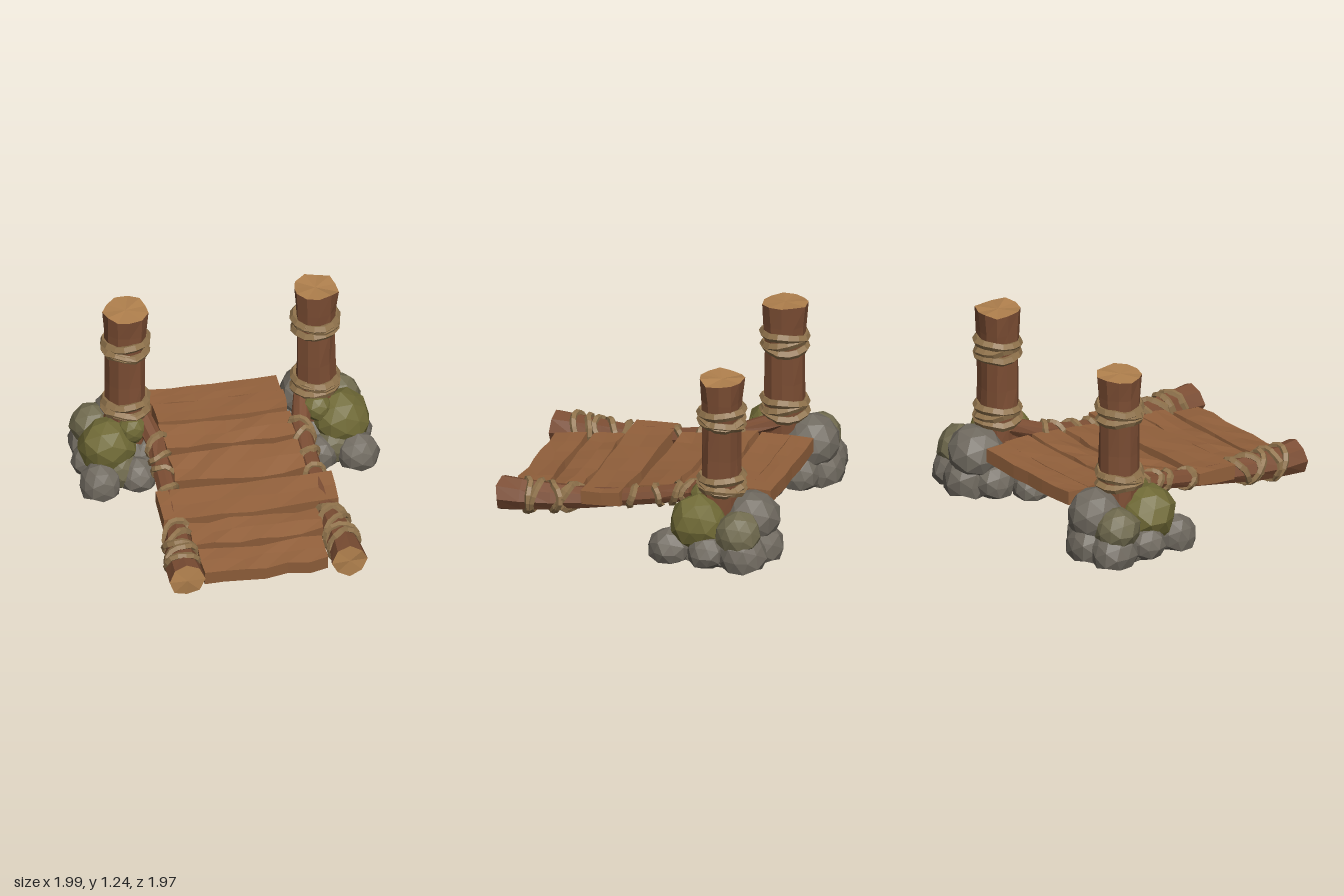
import * as THREE from 'three';

const mat = (color) => new THREE.MeshStandardMaterial({ color, flatShading: true });
const UP = new THREE.Vector3(0, 1, 0);

// Repeatable noise in -1..1; equal positions always get equal values.
function noise(v, seed) {
  const q = (n) => Math.round(n * 1000) / 1000;
  const s = Math.sin(q(v.x) * 127.1 + q(v.y) * 311.7 + q(v.z) * 74.7 + seed * 19.3) * 43758.5453;
  return (s - Math.floor(s)) * 2 - 1;
}

// Move every vertex by a rule.
function reshape(geometry, rule) {
  const pos = geometry.attributes.position;
  const v = new THREE.Vector3();
  for (let i = 0; i < pos.count; i++) {
    v.fromBufferAttribute(pos, i);
    rule(v);
    pos.setXYZ(i, v.x, v.y, v.z);
  }
  geometry.computeVertexNormals();
  return geometry;
}

function add(parent, name, geometry, material) {
  const mesh = new THREE.Mesh(geometry, material);
  mesh.name = name;
  parent.add(mesh);
}

// Rough log through stations [x, y, z, radius], with grooves along its length.
function logGeometry(stations, sides, rough, seed) {
  const n = stations.length - 1;
  const at = (i) => new THREE.Vector3(...stations[Math.min(n, Math.max(0, i))].slice(0, 3));
  return reshape(new THREE.CylinderGeometry(1, 1, 1, sides, n), (v) => {
    const i = Math.round((v.y + 0.5) * n);
    const tangent = at(i + 1).sub(at(i - 1)).normalize();
    const onRim = Math.hypot(v.x, v.z) > 0.5;
    const groove = noise(new THREE.Vector3(v.x, 0, v.z), seed);
    const r = stations[i][3] * (1 + (onRim ? rough * (0.5 * noise(v, seed) + 0.7 * groove) : 0));
    const lift = i === n ? 0.012 * noise(v, seed + 5) : 0;
    v.set(v.x * r, lift, v.z * r)
      .applyQuaternion(new THREE.Quaternion().setFromUnitVectors(UP, tangent))
      .add(at(i));
  });
}

// One tilted loop of rope around an axis.
function ropeGeometry(center, axis, radius, thick, tilt, phase) {
  const turn = new THREE.Quaternion().setFromUnitVectors(UP, axis);
  const points = [];
  for (let i = 0; i < 9; i++) {
    const a = (i / 9) * Math.PI * 2;
    const r = radius * (1 + 0.04 * Math.sin(i * 2.4 + phase * 3));
    const h = tilt * Math.sin(a + phase) + 0.008 * Math.sin(i * 3.1 + phase);
    points.push(new THREE.Vector3(r * Math.cos(a), h, r * Math.sin(a)).applyQuaternion(turn).add(center));
  }
  return new THREE.TubeGeometry(new THREE.CatmullRomCurve3(points, true), 14, thick, 5, true);
}

// Faceted boulder cut flat at the ground.
function rockGeometry(x, y, z, r, seed) {
  return reshape(new THREE.IcosahedronGeometry(1, 1), (v) => {
    v.multiplyScalar(r * (1 + 0.06 * noise(v, seed)));
    v.set(v.x + x, Math.max(0.02, v.y + y), v.z + z);
  });
}

// Warped board, centred at height y, sloping up towards the back.
function plankGeometry(z0, z1, halfWidth, y, pitch, rough, seed) {
  const g = new THREE.BoxGeometry(halfWidth * 2, 0.09, z1 - z0, 6, 1, 2);
  reshape(g, (v) => {
    const p = v.clone();
    const edge = new THREE.Vector3(p.x, 0, p.z);
    v.z += 0.02 * rough * noise(edge, seed);
    v.y += 0.012 * rough * noise(p, seed + 3) - 0.012 * (1 - (p.x / halfWidth) ** 2);
    v.x += 0.01 * noise(edge, seed + 7);
  });
  return g.rotateX(pitch).translate(0, y, (z0 + z1) / 2);
}

export function createModel() {
  const model = new THREE.Group();
  model.name = 'ropeBridgeEnd';
  const bark = mat(0x7b4d33);
  const cutWood = mat(0xb0804d);
  const board = mat(0x93613c);
  const rope = mat(0x90734c);
  const stone = mat(0x706a60);
  const mossyStone = mat(0x706a36);
  const halfMossyStone = mat(0x706a4e);
  const logMats = [bark, cutWood, cutWood];

  // Deck boards: back edge, front edge, half width, height, slope, roughness
  const planks = [
    [-0.83, -0.675, 0.43, 0.35, 0.02, 0.3],
    [-0.675, -0.48, 0.43, 0.345, 0.03, 0.3],
    [-0.445, -0.235, 0.43, 0.325, 0.14, 0.7],
    [-0.195, 0.075, 0.425, 0.275, 0.17, 0.8],
    [0.14, 0.42, 0.575, 0.238, 0.1, 0.5],
    [0.45, 0.66, 0.43, 0.19, 0.14, 0.8],
    [0.70, 0.92, 0.41, 0.148, 0.12, 1],
  ];
  const deck = new THREE.Group();
  deck.name = 'deck';
  model.add(deck);
  planks.forEach((p, i) => add(deck, 'plank' + (i + 1), plankGeometry(...p, i + 1), board));

  // Boulders for the +x side: x, y, z, radius, material
  const rocks = [
    [0.61, 0.28, -0.76, 0.19, stone],
    [0.81, 0.25, -0.74, 0.15, halfMossyStone],
    [0.77, 0.27, -0.46, 0.19, mossyStone],
    [0.61, 0.39, -0.45, 0.1, mossyStone],
    [0.63, 0.1, -0.81, 0.17, stone],
    [0.81, 0.1, -0.77, 0.16, stone],
    [0.86, 0.11, -0.54, 0.13, stone],
    [0.85, 0.1, -0.29, 0.14, stone],
    [0.71, 0.13, -0.39, 0.14, halfMossyStone],
    [0.6, 0.1, -0.33, 0.13, stone],
    [0.5, 0.15, -0.5, 0.14, stone],
    [0.48, 0.11, -0.72, 0.14, stone],
    [0.33, 0.06, -0.53, 0.13, stone],
    [0.66, 0.05, -0.57, 0.27, stone],
  ];

  // Rail stations for the +x side, from the back up to the thick front end
  const rail = [
    [0.54, 0.44, -0.56, 0.06],
    [0.475, 0.345, -0.32, 0.062],
    [0.48, 0.285, -0.1, 0.06],
    [0.485, 0.235, 0.15, 0.06],
    [0.50, 0.195, 0.42, 0.075],
    [0.52, 0.18, 0.62, 0.092],
    [0.535, 0.17, 0.82, 0.105],
    [0.537, 0.166, 0.97, 0.115],
  ];
  // Rope loops on the rail: position along z, tilt
  const railLoops = [[-0.3, 0.05], [-0.2, -0.05], [-0.08, 0.02], [0.09, 0.03],
    [0.5, 0.06], [0.56, -0.07], [0.62, 0.06], [0.73, 0.03], [0.79, -0.04]];
  // Rope loops on the post: height, radius, tilt
  const postLoops = [[0.94, 0.133, 0.012], [1.02, 0.136, 0.015], [0.975, 0.131, 0.03],
    [0.48, 0.138, 0.015], [0.555, 0.135, 0.012], [0.515, 0.133, 0.03]];
  const profile = [[0.1, 0.14], [0.3, 0.14], [0.45, 0.136], [0.7, 0.128], [0.95, 0.129], [1.1, 0.136], [1.245, 0.148]];

  for (const s of [1, -1]) {
    const side = new THREE.Group();
    side.name = s > 0 ? 'leftSide' : 'rightSide';
    model.add(side);
    const seed = 10 + s * 4;

    // Upright post and its two bindings
    const post = profile.map(([y, r]) => [s * 0.625, y, -0.57, r]);
    add(side, 'post', logGeometry(post, 11, 0.09, seed), logMats);
    postLoops.forEach(([y, r, tilt], i) => add(side, 'postRope',
      ropeGeometry(new THREE.Vector3(s * 0.625, y, -0.57), UP, r, 0.031, tilt, i * 2.1 + s), rope));

    // Sloping rail and its lashings
    const path = rail.map(([x, y, z, r]) => [s * x, y, z, r]);
    add(side, 'rail', logGeometry(path, 8, 0.08, seed + 1), logMats);
    railLoops.forEach(([z, tilt], i) => {
      const k = path.findIndex((p) => p[2] > z);
      const [a, b] = [path[k - 1], path[k]];
      const t = (z - a[2]) / (b[2] - a[2]);
      const [x, y, , r] = a.map((n, j) => n + (b[j] - n) * t);
      const axis = new THREE.Vector3(b[0] - a[0], b[1] - a[1], b[2] - a[2]).normalize();
      add(side, 'railRope', ropeGeometry(new THREE.Vector3(x, y, z), axis, r, 0.024, tilt, i * 1.7 + s), rope);
    });

    // Boulders around the post foot
    rocks.forEach(([x, y, z, r, m], i) => add(side, 'rock', rockGeometry(s * x, y, z, r, seed + i), m));
  }
  return model;
}
